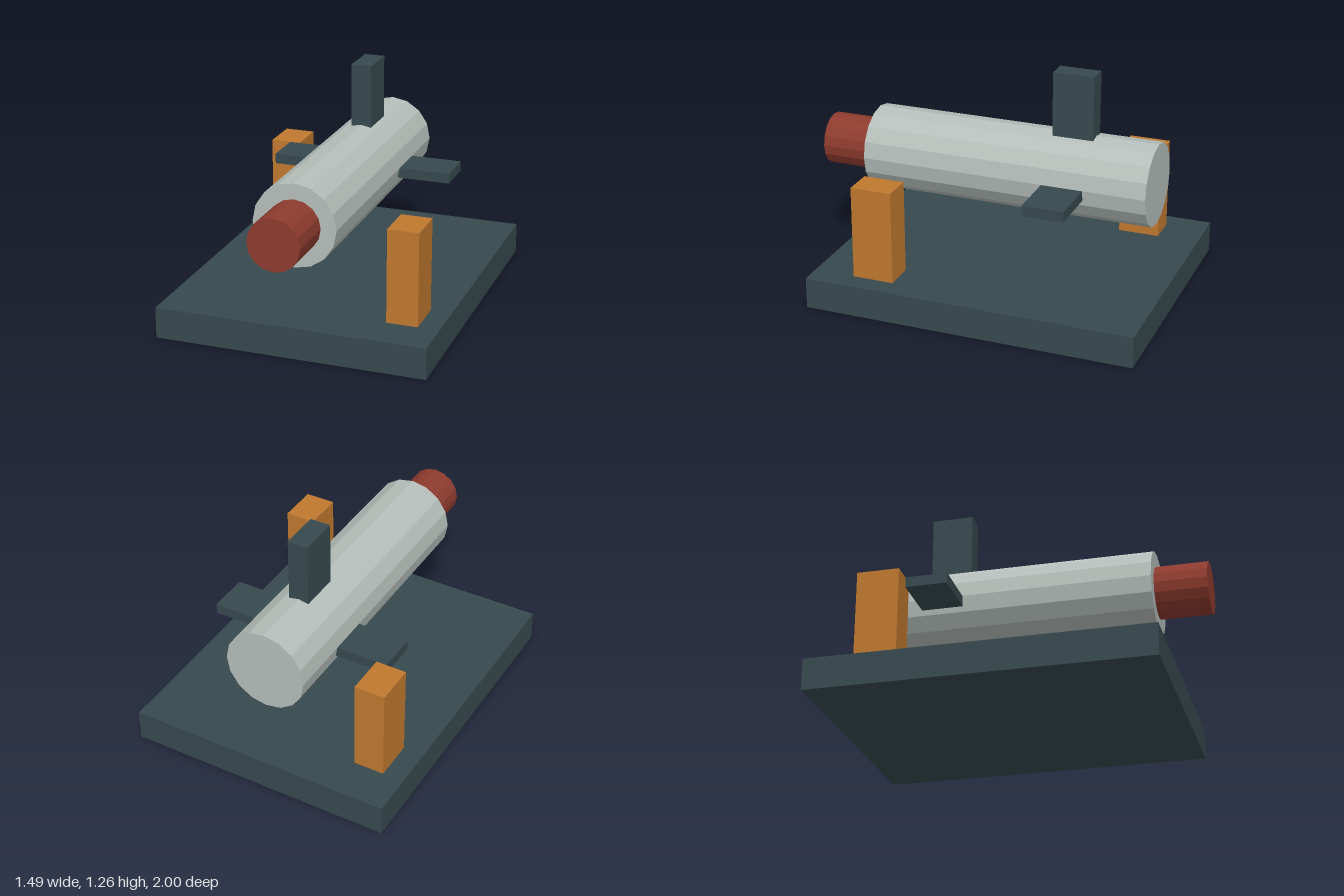
import * as THREE from 'three';

const material = (name, color, flatShading = false) => {
  const m = new THREE.MeshStandardMaterial({ color, flatShading });
  m.name = name;
  return m;
};

export function createModel() {
  const model = new THREE.Group();
  model.name = 'mountedCylinder';

  const slate = material('slate', 0x37494e);
  const orange = material('orange', 0xc0782f);
  const grey = material('paleGrey', 0xb5beba, true);
  const red = material('brickRed', 0x8e3b2e, true);

  // Box given by its limits along each axis
  const box = (name, mat, [x0, x1], [y0, y1], [z0, z1]) => {
    const mesh = new THREE.Mesh(new THREE.BoxGeometry(x1 - x0, y1 - y0, z1 - z0), mat);
    mesh.position.set((x0 + x1) / 2, (y0 + y1) / 2, (z0 + z1) / 2);
    mesh.name = name;
    model.add(mesh);
  };

  // Sixteen-sided cylinder lying along z
  const axisY = 0.687;
  const tube = (name, mat, radius, z0, z1) => {
    const geometry = new THREE.CylinderGeometry(radius, radius, z1 - z0, 16).rotateX(Math.PI / 2);
    const mesh = new THREE.Mesh(geometry, mat);
    mesh.position.set(0, axisY, (z0 + z1) / 2);
    mesh.name = name;
    model.add(mesh);
  };

  // Base slab
  box('base', slate, [-0.743, 0.743], [0, 0.172], [-1, 0.828]);

  // Two posts on opposite corners
  box('leftPost', orange, [0.457, 0.627], [0.172, 0.687], [0.372, 0.6]);
  box('rightPost', orange, [-0.627, -0.457], [0.172, 0.687], [-0.772, -0.543]);

  // Body and nose
  tube('body', grey, 0.228, -0.886, 0.714);
  tube('nose', red, 0.143, 0.714, 1);

  // Side fins and upright fin, rooted inside the body
  const finZ = [-0.543, -0.315];
  box('leftFin', slate, [0.15, 0.515], [0.63, 0.687], finZ);
  box('rightFin', slate, [-0.515, -0.15], [0.63, 0.687], finZ);
  box('topFin', slate, [-0.057, 0.057], [0.85, 1.258], finZ);

  return model;
}
